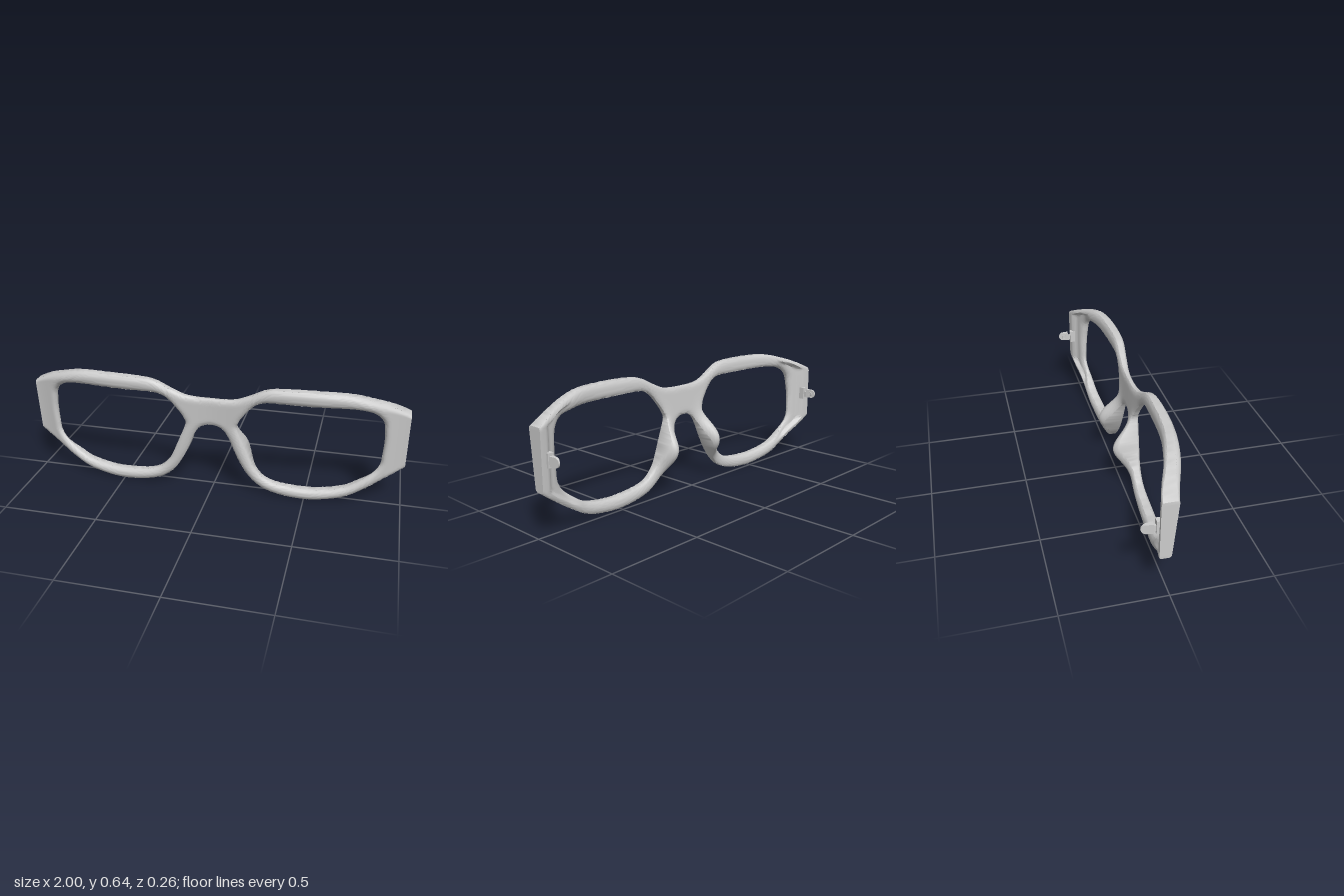
import * as THREE from 'three';
import { toCreasedNormals } from 'three/addons/utils/BufferGeometryUtils.js';

const smooth = THREE.MathUtils.smoothstep;
const curveOf = (pts) => new THREE.SplineCurve(pts.map((p) => new THREE.Vector2(p[0], p[1])));

// Matching stations around one rim: outer outline (bridge, brow, end wall, lower rim, centre line)
const OUTER = [[0, 0.543], [0.07, 0.543], [0.14, 0.553], [0.21, 0.583], [0.285, 0.62], [0.36, 0.633],
  [0.56, 0.636], [0.7, 0.63], [0.8, 0.607], [0.9, 0.573], [1, 0.525],
  [1, 0.45], [1, 0.375], [1, 0.3], [1, 0.225],
  [0.9, 0.152], [0.8, 0.085], [0.71, 0.036], [0.6, 0.01], [0.5, 0.001], [0.38, 0.011], [0.28, 0.04],
  [0.21, 0.095], [0.16, 0.17], [0.125, 0.245], [0.095, 0.32], [0.065, 0.367], [0.03, 0.387], [0, 0.39],
  [0, 0.441], [0, 0.492]];
// ... and the lens opening
const INNER = [[0.143, 0.415], [0.155, 0.44], [0.18, 0.475], [0.215, 0.517], [0.258, 0.547], [0.33, 0.56],
  [0.55, 0.561], [0.69, 0.56], [0.78, 0.549], [0.835, 0.527], [0.87, 0.487],
  [0.88, 0.43], [0.884, 0.37], [0.881, 0.3], [0.874, 0.235],
  [0.835, 0.18], [0.74, 0.11], [0.67, 0.083], [0.58, 0.067], [0.49, 0.063], [0.37, 0.073], [0.29, 0.1],
  [0.235, 0.155], [0.205, 0.215], [0.178, 0.28], [0.155, 0.335], [0.142, 0.368], [0.137, 0.385],
  [0.136, 0.394], [0.137, 0.401], [0.139, 0.408]];
const END_TOP = 10, END_BOTTOM = 14, SEAM = 28, COUNT = OUTER.length;

// Both loops sampled n times per station; corners stay sharp between the outer segments
function loops(n) {
  const ring = [...OUTER, OUTER[0]];
  const cuts = [0, END_TOP, END_BOTTOM, SEAM, COUNT];
  const outer = [];
  for (let k = 0; k < 4; k++) {
    const pts = curveOf(ring.slice(cuts[k], cuts[k + 1] + 1)).getPoints(n * (cuts[k + 1] - cuts[k]));
    outer.push(...pts.slice(0, -1));
  }
  const wrapped = curveOf([...INNER.slice(-2), ...INNER, ...INNER.slice(0, 3)]);
  const inner = outer.map((_, i) => wrapped.getPoint((i / n + 2) / (COUNT + 4)));
  return { outer, inner };
}

// Smooth function of |x| through values at x = 0, 0.2 ... 1
function profile(values) {
  const curve = curveOf([values[1], ...values].map((v, i) => [i, v]));
  return (x) => curve.getPoint(Math.min(1, (x + 0.2) / 1.2)).y;
}
const frontZ = profile([0.08, 0.094, 0.104, 0.097, 0.066, 0.006]);
const backZ = profile([0.045, 0.045, 0.042, 0.03, -0.002, -0.055]);

const nearest = (p, pts) => Math.sqrt(pts.reduce((m, q) => Math.min(m, p.distanceToSquared(q)), 1));

// Front and back height of the frame at a point, with rounded edges
function surfaces(p, outline, opening) {
  const { x, y } = p;
  const dOuter = nearest(p, outline);
  const tilt = 0.085 * (y - 0.3);
  const front = frontZ(x) + tilt;
  let back = backZ(x) + tilt * (1 - smooth(x, 0.6, 1));
  const body = front - back;
  // Hollow behind the end piece
  back += 0.022 * smooth(x, 0.75, 0.85) * (1 - smooth(x, 0.93, 0.955)) * smooth(dOuter, 0.02, 0.035);
  // Nose pad swelling backwards
  back -= 0.092 * Math.exp(-(((x - 0.16) / 0.06) ** 2) - ((y - 0.24) / 0.11) ** 2);
  // Edge rounding, tighter at the end piece
  const r = 0.032 * (1 - 0.6 * smooth(x, 0.85, 1));
  const q = 1 - Math.min(1, Math.min(dOuter, nearest(p, opening)) / r);
  const drop = body * (1 - Math.sqrt(1 - q * q)) * (1 - 0.5 * smooth(x, 0.85, 1));
  return [front - 0.42 * drop, back + 0.25 * drop];
}

function frameGeometry() {
  const n = 7, cols = 14;
  const fine = loops(24);
  const outline = fine.outer.filter((_, i) => i <= END_TOP * 24 || (i >= END_BOTTOM * 24 && i <= SEAM * 24));
  const { outer, inner } = loops(n);
  const rows = outer.length, ringSize = 2 * (cols + 1);
  const half = [];
  for (let i = 0; i < rows; i++) {
    const frontRow = [], backRow = [];
    for (let j = 0; j <= cols; j++) {
      const s = (1 - Math.cos((Math.PI * j) / cols)) / 2;
      const p = inner[i].clone().lerp(outer[i], s);
      const [f, b] = surfaces(p, outline, fine.inner);
      frontRow.push([p.x, p.y, f]);
      backRow.unshift([p.x, p.y, b]);
    }
    half.push(...frontRow, ...backRow);
  }

  // Both mirrored halves, joined along the open centre line
  const positions = [], index = [];
  for (const side of [1, -1]) {
    const base = positions.length / 3;
    for (const [x, y, z] of half) positions.push(side * x, y, z);
    for (let i = 0; i < rows; i++) {
      for (let k = 0; k < ringSize; k++) {
        if (k === cols && i >= SEAM * n) continue;
        const i2 = (i + 1) % rows, k2 = (k + 1) % ringSize;
        const a = base + i * ringSize + k, b = base + i2 * ringSize + k;
        const c = base + i * ringSize + k2, d = base + i2 * ringSize + k2;
        if (side > 0) index.push(a, b, d, a, d, c);
        else index.push(a, d, b, a, c, d);
      }
    }
  }
  const geo = new THREE.BufferGeometry();
  geo.setAttribute('position', new THREE.Float32BufferAttribute(positions, 3));
  geo.setIndex(index);
  return toCreasedNormals(geo, 0.7);
}

function hinge(side, material) {
  const group = new THREE.Group();
  group.name = side > 0 ? 'leftHinge' : 'rightHinge';
  const add = (name, geo, x, y, z) => {
    const mesh = new THREE.Mesh(geo, material);
    mesh.name = name;
    mesh.position.set(side * x, y, z);
    group.add(mesh);
    return mesh;
  };
  add('hingePlate', new THREE.BoxGeometry(0.03, 0.068, 0.03), 0.955, 0.373, -0.047);
  add('hingeNeck', new THREE.BoxGeometry(0.014, 0.032, 0.02), 0.957, 0.367, -0.07);

  // Lug with a rounded tip, tapering towards the back
  const s = new THREE.Shape();
  s.moveTo(0, -0.024);
  s.lineTo(0.032, -0.024);
  s.absarc(0.032, 0, 0.024, -Math.PI / 2, Math.PI / 2, false);
  s.lineTo(0, 0.024);
  const lug = new THREE.ExtrudeGeometry(s, { depth: 0.026, bevelEnabled: false, curveSegments: 10 });
  lug.translate(0, 0, -0.013);
  const p = lug.attributes.position;
  for (let i = 0; i < p.count; i++) p.setZ(i, p.getZ(i) * (1 - 13 * p.getX(i)));
  lug.rotateY(Math.PI / 2);
  lug.computeVertexNormals();
  add('hingeLug', lug, 0.962, 0.374, -0.075);
  const eye = add('hingeEye', new THREE.TorusGeometry(0.011, 0.003, 6, 16), 0.954, 0.374, -0.1);
  eye.rotation.y = Math.PI / 2;
  return group;
}

export function createModel() {
  const model = new THREE.Group();
  model.name = 'glassesFrame';
  const material = new THREE.MeshStandardMaterial({ color: 0xcccccc });
  const frame = new THREE.Mesh(frameGeometry(), material);
  frame.name = 'frontFrame';
  model.add(frame);
  for (const side of [1, -1]) model.add(hinge(side, material));
  return model;
}
